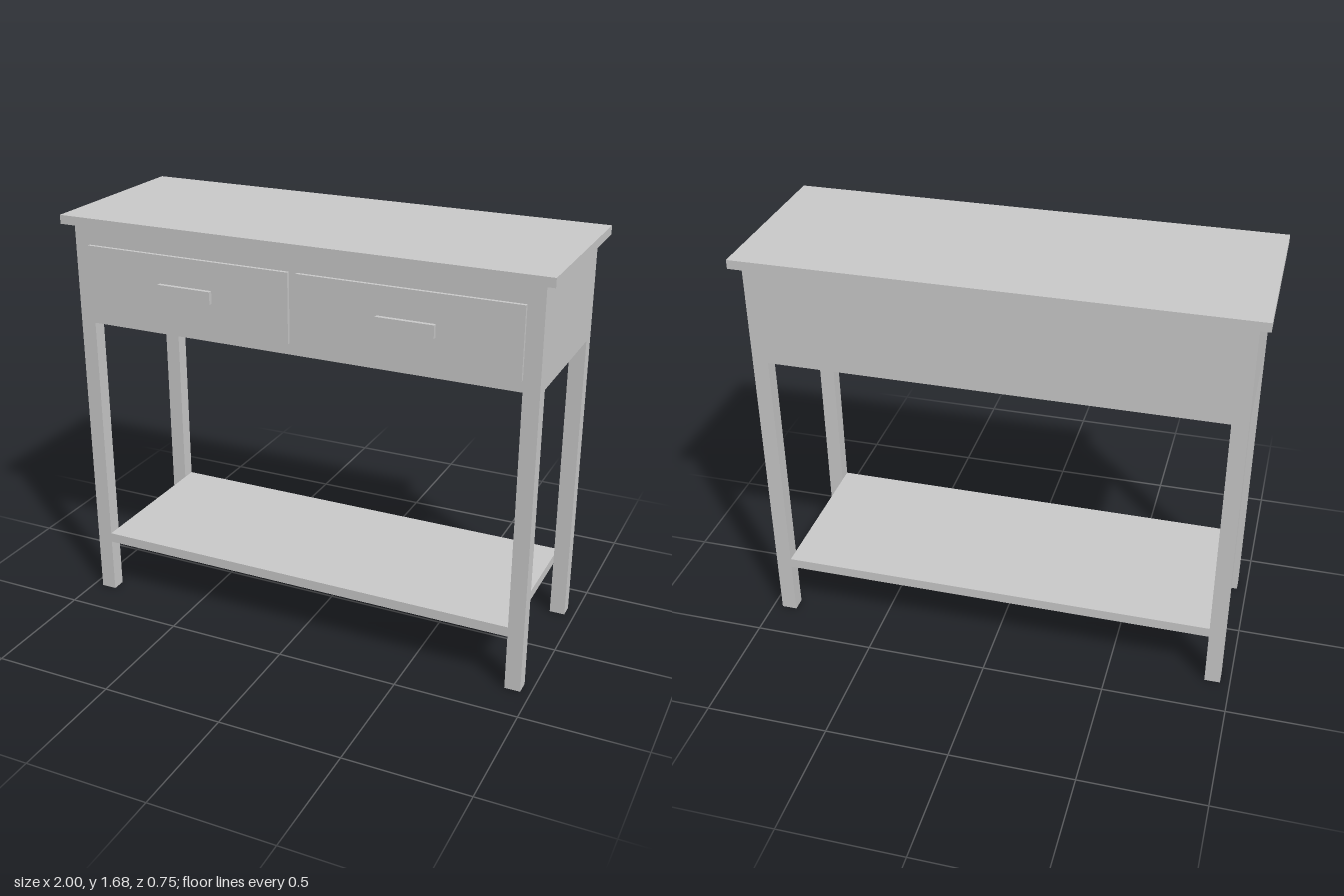
import * as THREE from 'three';

export function createModel() {
  const model = new THREE.Group();
  const material = new THREE.MeshStandardMaterial({ color: 0xcccccc, flatShading: true });

  // Box given by its extents along each axis
  function box(name, [x0, x1], [y0, y1], [z0, z1]) {
    const mesh = new THREE.Mesh(new THREE.BoxGeometry(x1 - x0, y1 - y0, z1 - z0), material);
    mesh.position.set((x0 + x1) / 2, (y0 + y1) / 2, (z0 + z1) / 2);
    mesh.name = name;
    model.add(mesh);
  }

  const halfW = 0.96, halfD = 0.34; // outer faces of the frame
  const innerX = 0.896, innerZ = 0.282; // inner faces of the legs
  const bodyBottom = 1.234, bodyTop = 1.64;

  // Overhanging top, drawer case and lower shelf
  box('tabletop', [-1, 1], [bodyTop, 1.676], [-0.377, 0.377]);
  box('drawerCase', [-halfW, halfW], [bodyBottom, bodyTop], [-halfD, halfD]);
  box('shelf', [-innerX, innerX], [0.232, 0.273], [-halfD, halfD]);

  for (const side of [-1, 1]) {
    const name = side > 0 ? 'left' : 'right';
    const span = (a, b) => (side > 0 ? [a, b] : [-b, -a]);

    // Legs, flush with the case
    box(name + 'FrontLeg', span(innerX, halfW), [0, bodyBottom], [innerZ, halfD]);
    box(name + 'BackLeg', span(innerX, halfW), [0, bodyBottom], [-halfD, -innerZ]);

    // Drawer front with its bar handle
    box(name + 'DrawerFront', span(0.017, 0.895), [1.28, 1.559], [halfD, 0.354]);
    box(name + 'Handle', span(0.342, 0.57), [1.394, 1.445], [0.354, 0.371]);
  }

  return model;
}
